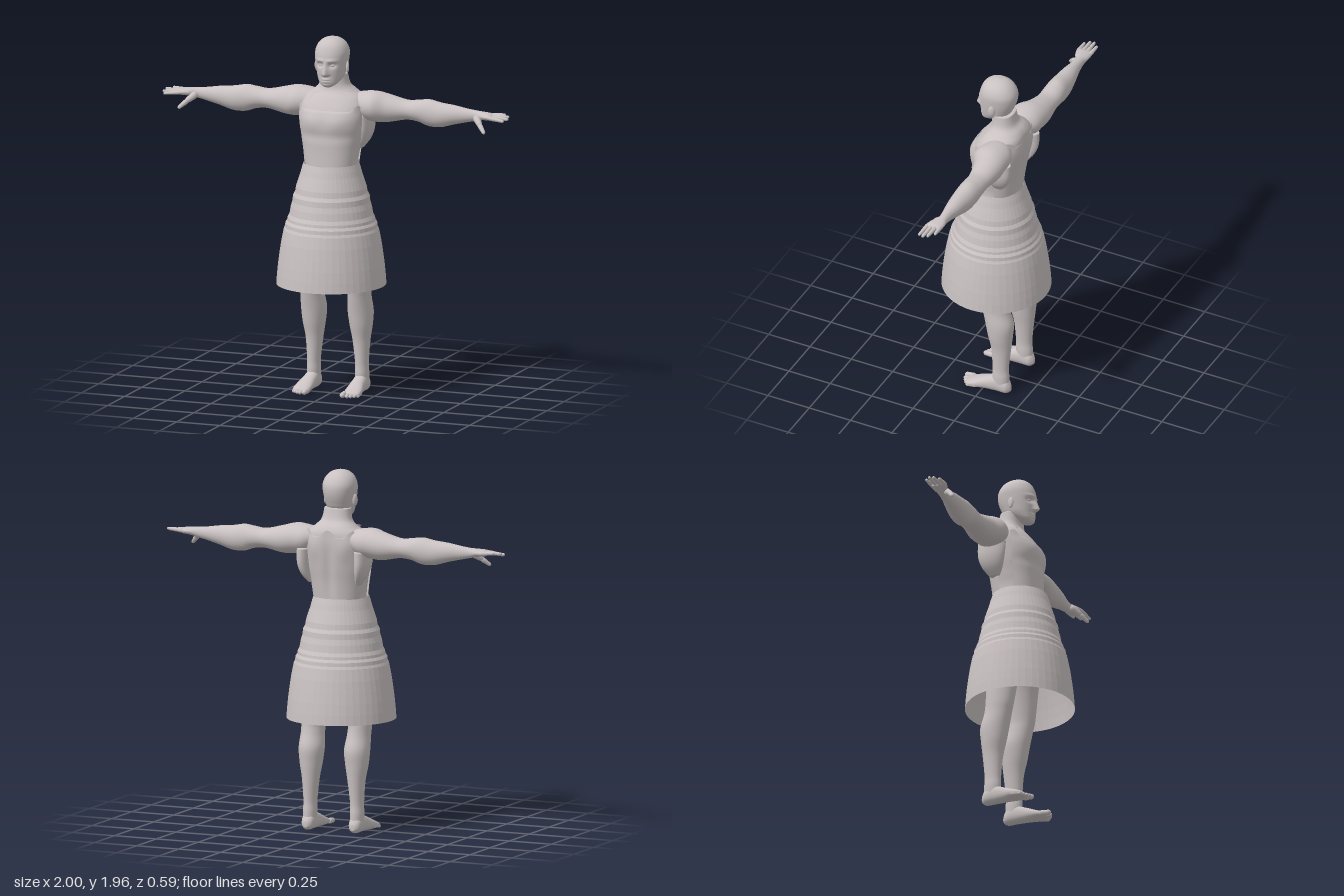
import * as THREE from 'three';

const clay = new THREE.MeshStandardMaterial({ color: 0xcac2c2, side: THREE.DoubleSide });
clay.name = 'warm grey';

// Catmull-Rom blend through a table of cross-sections
function sample(rows, t) {
  const f = t * (rows.length - 1), i = Math.min(Math.floor(f), rows.length - 2), u = f - i;
  const at = (k) => rows[Math.max(0, Math.min(rows.length - 1, k))];
  const [a, b, c, d] = [at(i - 1), at(i), at(i + 1), at(i + 2)];
  return b.map((_, k) => 0.5 * (2 * b[k] + (c[k] - a[k]) * u +
    (2 * a[k] - 5 * b[k] + 4 * c[k] - d[k]) * u * u + (3 * b[k] - a[k] - 3 * c[k] + d[k]) * u ** 3));
}

// Loft along y; each row is [y, centreX, centreZ, radiusX, radiusZ].
// With opt.half it is an open shell around the angle opt.mid.
function loft(rows, { rings = 40, segs = 32, power = 1, mid = 0, half = null, shape = null } = {}) {
  const pos = [], idx = [], open = half !== null, cols = open ? segs + 1 : segs;
  const pow = (n) => Math.sign(n) * Math.abs(n) ** power;
  for (let j = 0; j <= rings; j++) {
    const [y, cx, cz, rx, rz] = sample(rows, j / rings);
    for (let i = 0; i < cols; i++) {
      const a = open ? mid + (2 * i / segs - 1) * half(j / rings) : i / segs * Math.PI * 2;
      const v = new THREE.Vector3(cx + rx * pow(Math.sin(a)), y, cz + rz * pow(Math.cos(a)));
      if (shape) shape(v, j / rings);
      pos.push(v.x, v.y, v.z);
    }
  }
  for (let j = 0; j < rings; j++) for (let i = 0; i < segs; i++) {
    const a = j * cols + i, b = j * cols + (i + 1) % cols;
    idx.push(a, b, b + cols, a, b + cols, a + cols);
  }
  if (!open) {
    for (const [row, top] of [[rows[0], false], [rows[rows.length - 1], true]]) {
      const c = pos.length / 3, base = top ? rings * cols : 0;
      pos.push(row[1], row[0], row[2]);
      for (let i = 0; i < segs; i++) {
        const a = base + i, b = base + (i + 1) % segs;
        idx.push(c, top ? a : b, top ? b : a);
      }
    }
  }
  const g = new THREE.BufferGeometry();
  g.setAttribute('position', new THREE.Float32BufferAttribute(pos, 3));
  g.setIndex(idx);
  g.computeVertexNormals();
  return g;
}

// Tapered round-ended stick between two points
function stick(a, b, r0, r1) {
  const p = new THREE.Vector3(...a), d = new THREE.Vector3(...b).sub(p), n = d.length();
  const g = loft([[0, 0, 0, r0 * 0.7, r0 * 0.7], [n * 0.2, 0, 0, r0, r0], [n * 0.6, 0, 0, (r0 + r1) / 2, (r0 + r1) / 2],
    [n - r1 * 0.7, 0, 0, r1, r1], [n, 0, 0, r1 * 0.25, r1 * 0.25]], { rings: 14, segs: 12 });
  g.applyQuaternion(new THREE.Quaternion().setFromUnitVectors(new THREE.Vector3(0, 1, 0), d.normalize()));
  return g.translate(p.x, p.y, p.z);
}

function mirrored(geo) {
  const g = geo.clone().scale(-1, 1, 1), ix = g.index.array;
  for (let i = 0; i < ix.length; i += 3) [ix[i], ix[i + 1]] = [ix[i + 1], ix[i]];
  g.computeVertexNormals();
  return g;
}

const bump = (d, w) => Math.exp(-((d / w) ** 2));

export function createModel() {
  const model = new THREE.Group();
  model.name = 'figure';
  const add = (name, g) => {
    const m = new THREE.Mesh(g, clay);
    m.name = name;
    model.add(m);
  };
  const pair = (name, g) => {
    add('left' + name, g);
    add('right' + name, mirrored(g));
  };

  // Torso and neck, with chest, spine and shoulder blade relief
  const torso = [[0.95, 0, -0.03, 0.14, 0.1], [1.12, 0, -0.015, 0.155, 0.125], [1.27, 0, -0.012, 0.14, 0.125],
    [1.36, 0, -0.018, 0.152, 0.13], [1.44, 0, -0.023, 0.168, 0.138], [1.52, 0, -0.03, 0.178, 0.14],
    [1.58, 0, -0.044, 0.182, 0.13], [1.63, 0, -0.06, 0.16, 0.112], [1.665, 0, -0.067, 0.115, 0.088],
    [1.7, 0, -0.055, 0.084, 0.067], [1.76, 0, -0.045, 0.073, 0.06]];
  const relief = (v) => {
    if (v.z < -0.05) {
      v.z += 0.014 * bump(v.x, 0.025) * bump(v.y - 1.43, 0.16);
      v.z -= 0.008 * bump(Math.abs(v.x) - 0.09, 0.04) * bump(v.y - 1.54, 0.06);
    } else if (v.z > 0.03) {
      v.z += 0.008 * bump(Math.abs(v.x) - 0.075, 0.06) * bump(v.y - 1.51, 0.05);
      v.z -= 0.006 * bump(v.y - 1.43, 0.03);
    }
  };
  add('torso', loft(torso, { rings: 80, segs: 56, power: 0.88, shape: relief }));

  // Loose chest and back shells
  const grow = (rows, d) => rows.map(([y, x, z, rx, rz]) => [y, x, z, rx + d, rz + d]);
  add('chestPlate', loft(grow(torso.slice(2, 7), 0.008), {
    power: 0.88, half: (t) => 1.3 - 0.15 * t,
    shape: (v, t) => {
      relief(v);
      if (t > 0.9) v.y += (t - 0.9) * 10 * (0.03 * bump(Math.abs(v.x) - 0.165, 0.02) - 0.01);
    },
  }));
  add('backPlate', loft(grow(torso.slice(2, 8), 0.005), {
    power: 0.88, mid: Math.PI, half: (t) => 1.25 - 0.35 * t + 0.1 * Math.sin(t * 9),
    shape: (v, t) => {
      relief(v);
      if (t > 0.9) v.y += (t - 0.9) * 10 * 0.02 * Math.cos(v.x * 45);
    },
  }));
  pair('SideMuscle', loft([[1.35, 0.14, -0.08, 0.015, 0.03], [1.4, 0.16, -0.088, 0.03, 0.06],
    [1.46, 0.17, -0.09, 0.038, 0.078], [1.54, 0.17, -0.085, 0.04, 0.085]], { rings: 16 }));

  // Ragged collar scraps
  const scrap = new THREE.Shape([[0.055, 0.012], [0.1, 0.016], [0.128, 0.012], [0.11, 0], [0.125, -0.026],
    [0.108, -0.03], [0.088, -0.004], [0.07, 0.002]].map((p) => new THREE.Vector2(...p)));
  pair('CollarFlap', new THREE.ShapeGeometry(scrap).rotateX(-0.6).rotateY(0.25).translate(-0.005, 1.652, 0.045));

  // Head with facial relief
  const head = [[1.697, 0, 0.05, 0.02, 0.02], [1.715, 0, 0.037, 0.048, 0.043], [1.75, 0, 0.004, 0.07, 0.08],
    [1.79, 0, -0.007, 0.08, 0.095], [1.84, 0, -0.014, 0.088, 0.105], [1.885, 0, -0.017, 0.09, 0.102],
    [1.925, 0, -0.015, 0.075, 0.083], [1.952, 0, -0.014, 0.045, 0.05], [1.963, 0, -0.014, 0.006, 0.007]];
  add('head', loft(head, {
    rings: 90, segs: 72, power: 0.93,
    shape: (v) => {
      if (v.z < 0.01) return;
      const ax = Math.abs(v.x);
      const ridge = v.y > 1.77 ? Math.max(0, 1 - (v.y - 1.77) / 0.075) : Math.max(0, 1 - (1.77 - v.y) / 0.015);
      v.z += 0.033 * ridge * bump(v.x, 0.009 + 0.007 * ridge);
      v.z -= 0.014 * bump(ax - 0.035, 0.02) * bump(v.y - 1.82, 0.014);
      v.z += 0.006 * bump(ax - 0.03, 0.03) * bump(v.y - 1.845, 0.009);
      v.z += 0.007 * bump(v.x, 0.022) * (bump(v.y - 1.742, 0.006) + bump(v.y - 1.728, 0.006));
      v.z += 0.004 * bump(v.x, 0.02) * bump(v.y - 1.71, 0.01);
    },
  }));
  pair('Eye', new THREE.SphereGeometry(0.012, 16, 12).scale(1.2, 0.65, 1).translate(0.034, 1.82, 0.066));
  pair('Ear', new THREE.SphereGeometry(1, 16, 12).scale(0.009, 0.032, 0.019).rotateY(0.35).translate(0.088, 1.8, -0.015));

  // Arms: rows are [x, y, z, radiusY, radiusZ]
  const arm = [[0.1, 1.6, -0.08, 0.045, 0.06], [0.16, 1.586, -0.082, 0.074, 0.09], [0.23, 1.582, -0.078, 0.083, 0.098],
    [0.3, 1.574, -0.094, 0.075, 0.081], [0.4, 1.572, -0.1, 0.054, 0.063], [0.47, 1.572, -0.1, 0.06, 0.062],
    [0.53, 1.566, -0.098, 0.073, 0.06], [0.6, 1.56, -0.094, 0.067, 0.057], [0.68, 1.567, -0.092, 0.052, 0.046],
    [0.75, 1.57, -0.09, 0.038, 0.033], [0.81, 1.573, -0.09, 0.028, 0.027], [0.85, 1.576, -0.083, 0.022, 0.04],
    [0.89, 1.576, -0.077, 0.018, 0.047], [0.91, 1.575, -0.077, 0.01, 0.042]];
  pair('Arm', loft(arm.map(([x, y, z, ry, rz]) => [x, -y, z, ry, rz]), { rings: 90 }).rotateZ(-Math.PI / 2));

  // Fingers and thumb: [root z, tip x, tip y, tip z]
  for (const [z, tx, ty, tz] of [[-0.042, 0.985, 1.565, -0.032], [-0.065, 1, 1.572, -0.06],
    [-0.089, 0.995, 1.58, -0.088], [-0.112, 0.965, 1.584, -0.118]])
    pair('Finger', stick([0.88, 1.577, z], [tx, ty, tz], 0.012, 0.008));
  pair('ThumbBase', stick([0.81, 1.57, -0.07], [0.855, 1.53, -0.022], 0.02, 0.014));
  pair('Thumb', stick([0.845, 1.538, -0.032], [0.888, 1.497, 0.004], 0.014, 0.009));

  // Legs
  pair('Leg', loft([[0.03, 0.14, -0.1, 0.034, 0.045], [0.1, 0.14, -0.098, 0.037, 0.048], [0.16, 0.139, -0.097, 0.036, 0.046],
    [0.28, 0.136, -0.098, 0.047, 0.056], [0.37, 0.136, -0.093, 0.062, 0.07], [0.45, 0.135, -0.088, 0.069, 0.08],
    [0.53, 0.137, -0.068, 0.063, 0.077], [0.6, 0.138, -0.056, 0.063, 0.08], [0.75, 0.125, -0.045, 0.075, 0.09],
    [0.9, 0.1, -0.035, 0.09, 0.108], [1.03, 0.08, -0.03, 0.075, 0.1]], { rings: 70 }));

  // Feet: rows are [z, x, y, radiusX, radiusY]
  const foot = [[-0.157, 0.14, 0.032, 0.012, 0.016], [-0.135, 0.14, 0.042, 0.033, 0.041], [-0.08, 0.14, 0.05, 0.037, 0.05],
    [-0.02, 0.142, 0.04, 0.041, 0.04], [0.04, 0.146, 0.027, 0.048, 0.027], [0.08, 0.147, 0.019, 0.046, 0.018],
    [0.1, 0.143, 0.016, 0.035, 0.01]];
  pair('Foot', loft(foot.map(([z, x, y, rx, ry]) => [z, x, -y, rx, ry]), { power: 0.9 }).rotateX(Math.PI / 2));
  [[0.111, 0.133, 0.016], [0.136, 0.128, 0.012], [0.154, 0.119, 0.011], [0.171, 0.107, 0.011], [0.186, 0.092, 0.01]]
    .forEach(([x, z, r]) => pair('Toe', stick([x - 0.003, 0.02, z - 0.065], [x, r, z], r, r * 0.85)));

  // Stepped, faceted skirt
  const skirt = [[0.297, 0.605], [0.293, 0.66], [0.287, 0.72], [0.279, 0.78], [0.27, 0.84], [0.26, 0.89], [0.257, 0.905],
    [0.25, 0.92], [0.248, 0.94], [0.238, 0.955], [0.236, 0.97], [0.226, 0.99], [0.219, 1.03], [0.21, 1.06],
    [0.207, 1.09], [0.196, 1.11], [0.191, 1.14], [0.178, 1.18], [0.168, 1.21], [0.16, 1.24], [0.15, 1.272]];
  const cloth = new THREE.LatheGeometry(skirt.map((p) => new THREE.Vector2(...p)), 48).toNonIndexed();
  cloth.computeVertexNormals();
  add('skirt', cloth);

  return model;
}
